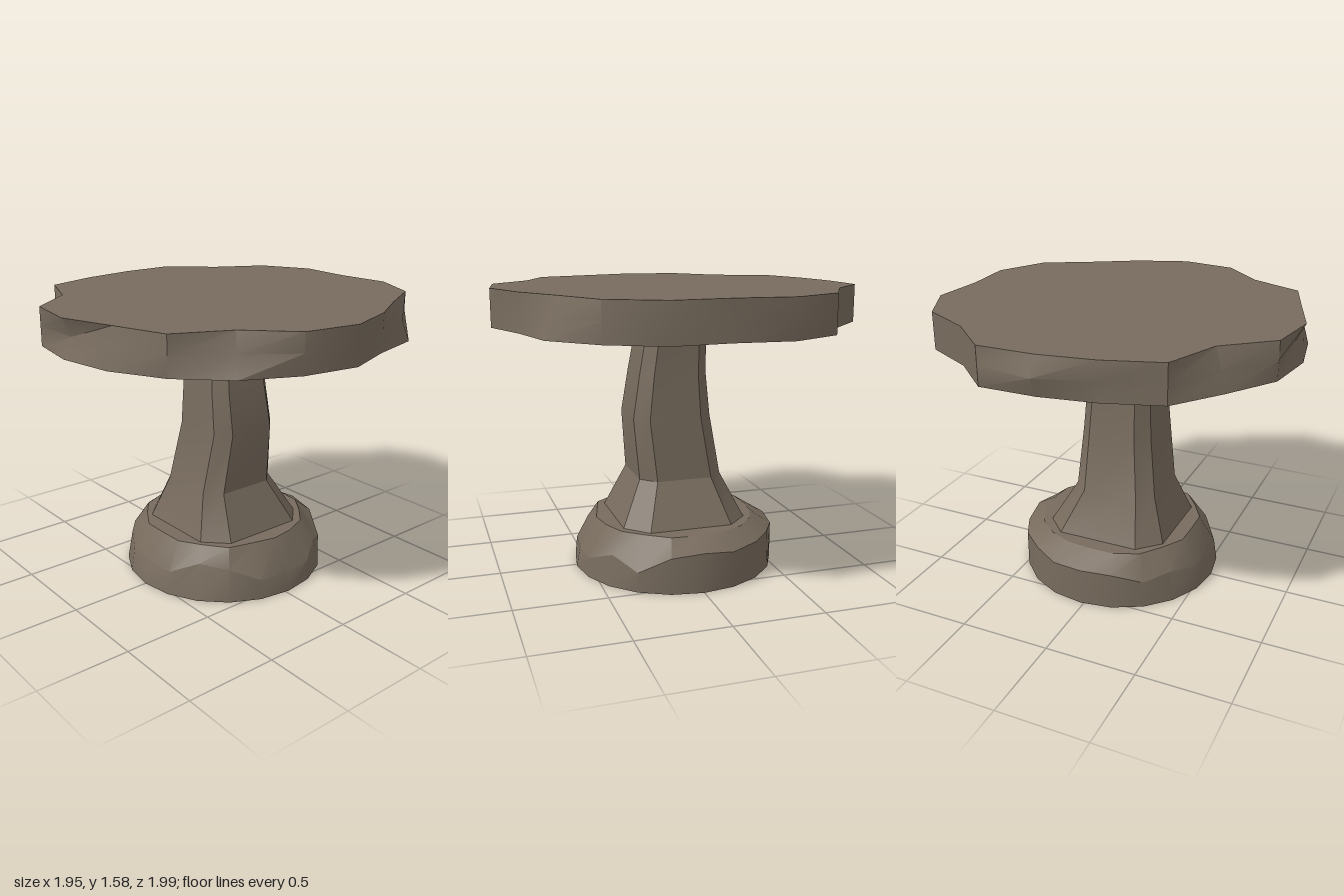
import * as THREE from 'three';
import { toCreasedNormals } from 'three/addons/utils/BufferGeometryUtils.js';

const CENTRE_X = 0.02;
const material = new THREE.MeshStandardMaterial({ color: 0x776b5d });

// Closed solid through a stack of rings, listed from bottom to top
function loft(rings, crease) {
  const n = rings[0].length;
  const points = rings.flat();
  const index = [];
  for (let r = 0; r < rings.length - 1; r++) {
    for (let i = 0; i < n; i++) {
      const a = r * n + i, b = r * n + (i + 1) % n;
      index.push(a, a + n, b, b, a + n, b + n);
    }
  }
  // flat caps, fanned from the ring centres
  [0, rings.length - 1].forEach((r) => {
    const centre = new THREE.Vector3();
    rings[r].forEach((p) => centre.addScaledVector(p, 1 / n));
    const c = points.push(centre) - 1;
    for (let i = 0; i < n; i++) {
      const a = r * n + i, b = r * n + (i + 1) % n;
      if (r === 0) index.push(c, a, b);
      else index.push(c, b, a);
    }
  });
  const geometry = new THREE.BufferGeometry().setFromPoints(points);
  geometry.setIndex(index);
  return toCreasedNormals(geometry, crease);
}

// Ring of 20 points; radius and height may vary from point to point
function roughRing(radius, height) {
  const at = (v, i) => (Array.isArray(v) ? v[i] : v);
  return Array.from({ length: 20 }, (_, i) => {
    const a = (i / 20) * Math.PI * 2;
    return new THREE.Vector3(
      CENTRE_X + at(radius, i) * Math.cos(a), at(height, i), at(radius, i) * Math.sin(a));
  });
}

// Square section with cut corners
function stemRing([y, x0, x1, z0, z1]) {
  const k = 0.66;
  const corners = [[1, -k], [1, k], [k, 1], [-k, 1], [-1, k], [-1, -k], [-k, -1], [k, -1]];
  return corners.map(([u, v]) => new THREE.Vector3(
    (x0 + x1) / 2 + u * (x1 - x0) / 2, y, (z0 + z1) / 2 + v * (z1 - z0) / 2));
}

export function createModel() {
  const model = new THREE.Group();
  const add = (name, geometry) => {
    const mesh = new THREE.Mesh(geometry, material);
    mesh.name = name;
    model.add(mesh);
  };

  // Base: round foot with an uneven chipped shoulder
  const shoulderHeight = [0.22, 0.2, 0.11, 0.17, 0.11, 0.11, 0.11, 0.18, 0.2, 0.13,
    0.13, 0.14, 0.17, 0.15, 0.2, 0.21, 0.2, 0.21, 0.21, 0.2];
  const shoulderRadius = [0.57, 0.57, 0.57, 0.54, 0.56, 0.55, 0.56, 0.54, 0.52, 0.55,
    0.54, 0.55, 0.54, 0.56, 0.56, 0.57, 0.57, 0.56, 0.57, 0.57];
  const topRadius = [0.46, 0.47, 0.45, 0.46, 0.45, 0.45, 0.44, 0.47, 0.45, 0.46,
    0.44, 0.46, 0.45, 0.47, 0.46, 0.44, 0.45, 0.46, 0.47, 0.46];
  add('base', loft([
    roughRing(0.57, 0), roughRing(shoulderRadius, shoulderHeight), roughRing(topRadius, 0.28),
  ], 0.45));

  // Stem: rough-hewn tapering post, as y, x range, z range
  add('stem', loft([
    [0.26, -0.34, 0.38, -0.36, 0.36],
    [0.52, -0.25, 0.23, -0.24, 0.23],
    [0.86, -0.2, 0.21, -0.18, 0.26],
    [1.1, -0.19, 0.19, -0.16, 0.22],
    [1.4, -0.15, 0.19, -0.16, 0.17],
  ].map(stemRing), 0.45));

  // Table top: thick disc with dents knocked out of the rim
  const lowerRim = [0.93, 1, 1, 1, 0.93, 0.99, 0.99, 1, 1, 1,
    1, 1, 0.96, 1, 0.95, 0.95, 1, 0.91, 1, 1];
  const middleRim = lowerRim.slice();
  const upperRim = lowerRim.slice();
  [[3, 0.96, 0.91], [7, 0.94, 0.89], [9, 0.97, 0.95], [10, 0.95, 1],
    [12, 0.92, 0.87], [15, 1, 0.95]].forEach(([i, middle, upper]) => {
    middleRim[i] = middle;
    upperRim[i] = upper;
  });
  add('tableTop', loft([
    roughRing(lowerRim, 1.375), roughRing(middleRim, 1.48), roughRing(upperRim, 1.58),
  ], 0.55));

  return model;
}
